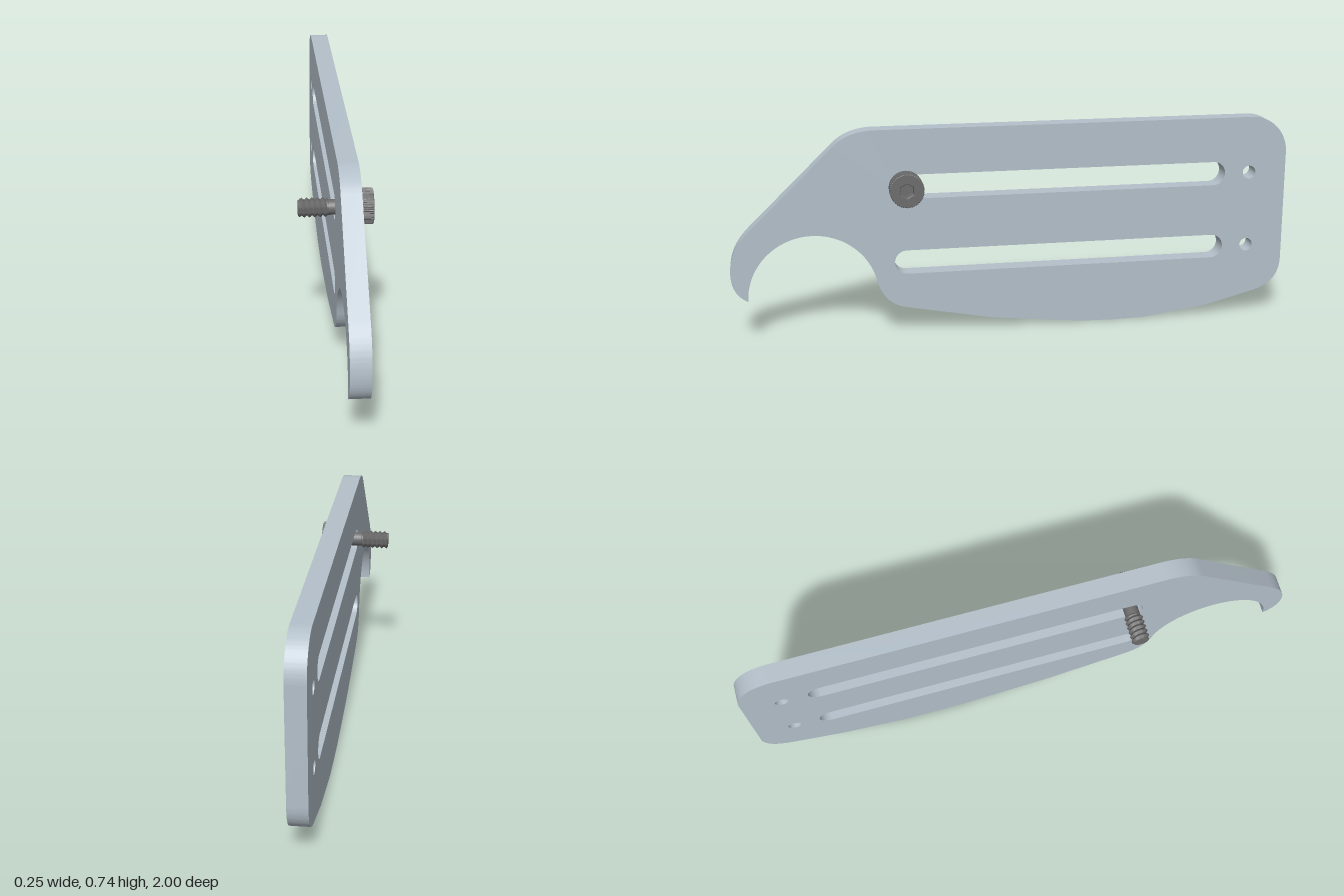
import * as THREE from 'three';
import { toCreasedNormals } from 'three/addons/utils/BufferGeometryUtils.js';

const plateMat = new THREE.MeshStandardMaterial({ color: 0xb4c0ca });
const boltMat = new THREE.MeshStandardMaterial({ color: 0x6c6c6c });
const PLATE_X0 = -0.004, PLATE_X1 = 0.063;

function add(parent, name, geometry, material) {
  const mesh = new THREE.Mesh(geometry, material);
  mesh.name = name;
  parent.add(mesh);
}

// Extrude a (-z, y) profile along x, from x0 to x1
function extrudeX(shape, x0, x1, crease, bevel = 0) {
  const g = new THREE.ExtrudeGeometry(shape, {
    depth: x1 - x0 - 2 * bevel, curveSegments: 24, bevelEnabled: bevel > 0,
    bevelSize: bevel, bevelThickness: bevel, bevelOffset: -bevel, bevelSegments: 1,
  });
  g.translate(0, 0, x0 + bevel);
  g.rotateY(Math.PI / 2);
  return toCreasedNormals(g, crease);
}

function circle(x, y, r) {
  const p = new THREE.Path();
  p.absarc(x, y, r, 0, Math.PI * 2, false);
  return p;
}

function slot(x0, x1, y, r) {
  const p = new THREE.Path();
  p.absarc(x1, y, r, -Math.PI / 2, Math.PI / 2, false);
  p.absarc(x0, y, r, Math.PI / 2, Math.PI * 1.5, false);
  p.closePath();
  return p;
}

function plateShape() {
  const s = new THREE.Shape();
  // top edge and rear corners
  s.moveTo(-0.49, 0.739);
  s.lineTo(0.866, 0.739);
  s.absarc(0.866, 0.605, 0.134, Math.PI / 2, 0, true);
  s.lineTo(1, 0.205);
  s.quadraticCurveTo(1, 0.109, 0.9, 0.083);
  // faceted belly
  for (const [x, y] of [[0.716, 0.035], [0.48, 0.002], [0.37, 0], [0.25, 0.002], [-0.076, 0.035], [-0.39, 0.094]])
    s.lineTo(x, y);
  // round notch and pointed hook
  s.quadraticCurveTo(-0.473, 0.11, -0.494, 0.199);
  s.absarc(-0.716, 0.147, 0.2276, 0.23, Math.PI, false);
  s.quadraticCurveTo(-1, 0.175, -1, 0.25);
  s.quadraticCurveTo(-1, 0.332, -0.93, 0.4);
  s.lineTo(-0.633, 0.688);
  s.quadraticCurveTo(-0.58, 0.739, -0.49, 0.739);
  // two long slots, each with a small hole behind it
  for (const y of [0.262, 0.535])
    s.holes.push(slot(-0.387, 0.729, y, 0.043), circle(0.863, y, 0.024));
  return s;
}

// Screw thread along y: rows of a cylinder follow the helix, alternating crest and root
function threadGeometry(length, root, crest, pitch) {
  const turns = Math.ceil(length / pitch) + 1, rows = turns * 4;
  const g = new THREE.CylinderGeometry(1, 1, 1, 40, rows, true);
  const pos = g.attributes.position, uv = g.attributes.uv;
  for (let i = 0; i < pos.count; i++) {
    const a = uv.getX(i), helixY = (uv.getY(i) * turns - 1 + a) * pitch;
    const y = THREE.MathUtils.clamp(helixY, 0, length);
    const phase = (((y / pitch - a) % 1) + 1) % 1;
    const wave = THREE.MathUtils.clamp(Math.abs(phase * 2 - 1) * 1.3 - 0.15, 0, 1);
    const taper = Math.min(1, y / 0.005, (length - y) / 0.005);
    const r = root + (crest - root) * wave * taper;
    pos.setXYZ(i, r * Math.sin(a * Math.PI * 2), y, r * Math.cos(a * Math.PI * 2));
  }
  return toCreasedNormals(g, 0.5);
}

function buildBolt() {
  const bolt = new THREE.Group();
  bolt.name = 'bolt';

  // smooth lower head
  const base = new THREE.Shape();
  base.absarc(0, 0, 0.059, 0, Math.PI * 2, false);
  add(bolt, 'headBase', extrudeX(base, PLATE_X1, 0.088, 0.4), boltMat);

  // knurled upper head with hexagonal socket
  const ribs = 48, rim = [], hex = [];
  for (let i = 0; i < ribs * 4; i++) {
    const a = (i / (ribs * 4)) * Math.PI * 2, r = i % 4 < 2 ? 0.06 : 0.0582;
    rim.push(new THREE.Vector2(r * Math.cos(a), r * Math.sin(a)));
  }
  for (let i = 0; i < 6; i++) {
    const a = (i * Math.PI) / 3 + Math.PI / 6;
    hex.push(new THREE.Vector2(0.026 * Math.cos(a), 0.026 * Math.sin(a)));
  }
  const knurl = new THREE.Shape(rim);
  knurl.holes.push(new THREE.Path(hex));
  add(bolt, 'knurledHead', extrudeX(knurl, 0.082, 0.123, 0.3, 0.002), boltMat);

  // plain shank through the slot
  const shank = new THREE.CylinderGeometry(0.026, 0.026, 0.095, 40);
  shank.rotateZ(-Math.PI / 2).translate(0.0195, 0, 0);
  add(bolt, 'shank', shank, boltMat);

  // threaded end and its flat tip
  const thread = threadGeometry(0.1, 0.026, 0.033, 0.0175);
  thread.rotateZ(-Math.PI / 2).translate(-0.124, 0, 0);
  add(bolt, 'thread', thread, boltMat);
  const tip = new THREE.CircleGeometry(0.0262, 40);
  tip.rotateY(-Math.PI / 2).translate(-0.124, 0, 0);
  add(bolt, 'threadTip', tip, boltMat);

  bolt.position.set(0, 0.534, 0.387);
  return bolt;
}

export function createModel() {
  const model = new THREE.Group();
  model.name = 'slottedHookPlate';
  add(model, 'plate', extrudeX(plateShape(), PLATE_X0, PLATE_X1, 0.085), plateMat);
  model.add(buildBolt());
  return model;
}
